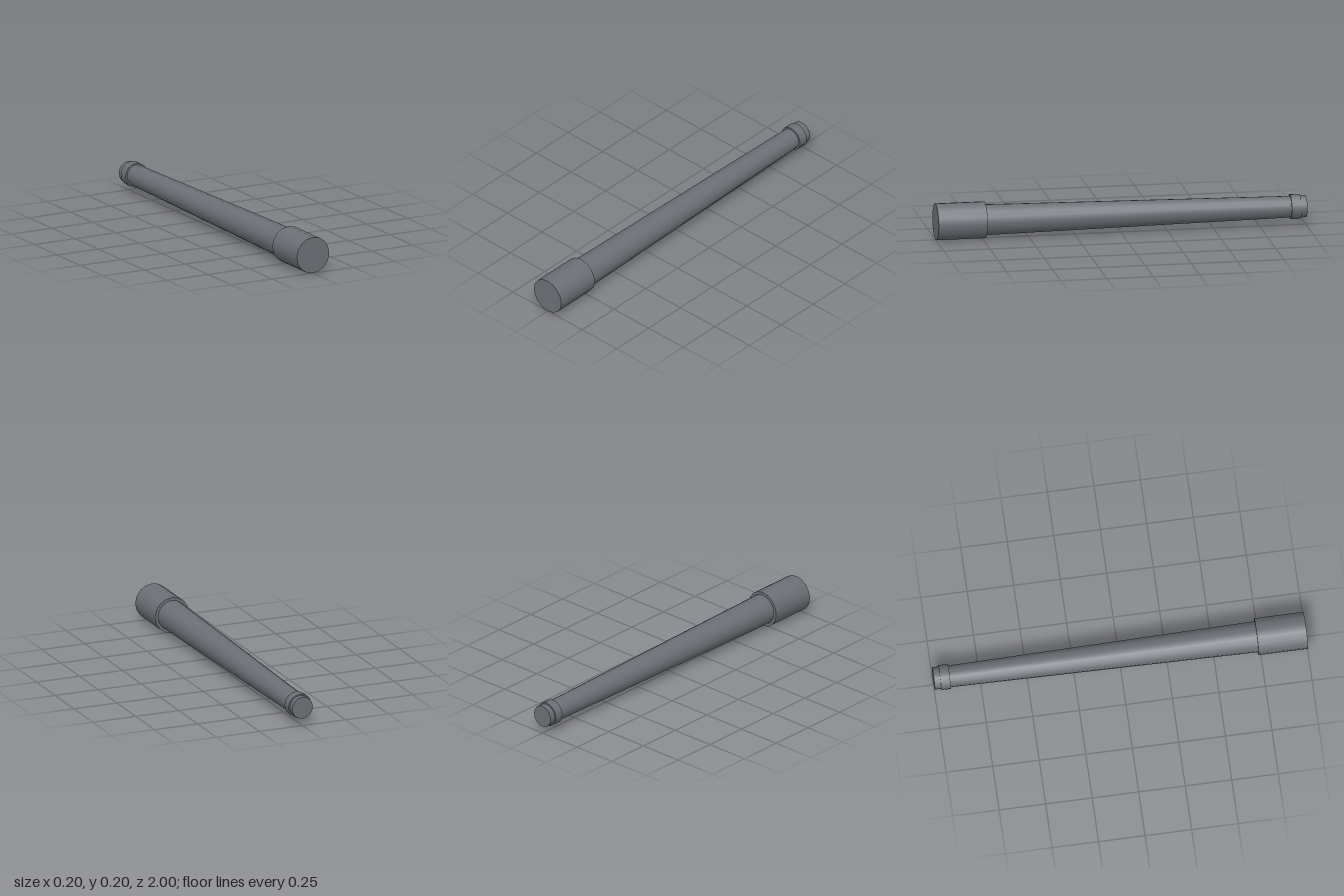
import * as THREE from 'three';

const SIDES = 16;
const AXIS_Y = 0.099;

export function createModel() {
  const group = new THREE.Group();
  group.name = 'taperedBarrel';
  const material = new THREE.MeshStandardMaterial({ color: 0x6b7076 });

  // One closed round section along z, from its back end to its front end
  function addSection(name, zBack, zFront, rBack, rFront) {
    const geometry = new THREE.CylinderGeometry(rFront, rBack, zFront - zBack, SIDES);
    geometry.rotateX(Math.PI / 2);
    const mesh = new THREE.Mesh(geometry, material);
    mesh.name = name;
    mesh.position.set(0, AXIS_Y, (zBack + zFront) / 2);
    group.add(mesh);
  }

  // Wide sleeve at the front
  addSection('frontSleeve', 0.735, 1, 0.099, 0.099);
  // Long shaft narrowing towards the back
  addSection('taperedShaft', -0.915, 0.735, 0.058, 0.083);
  // Raised ring and short tip at the back
  addSection('backRing', -0.967, -0.915, 0.067, 0.067);
  addSection('backTip', -1, -0.967, 0.06, 0.06);

  return group;
}
